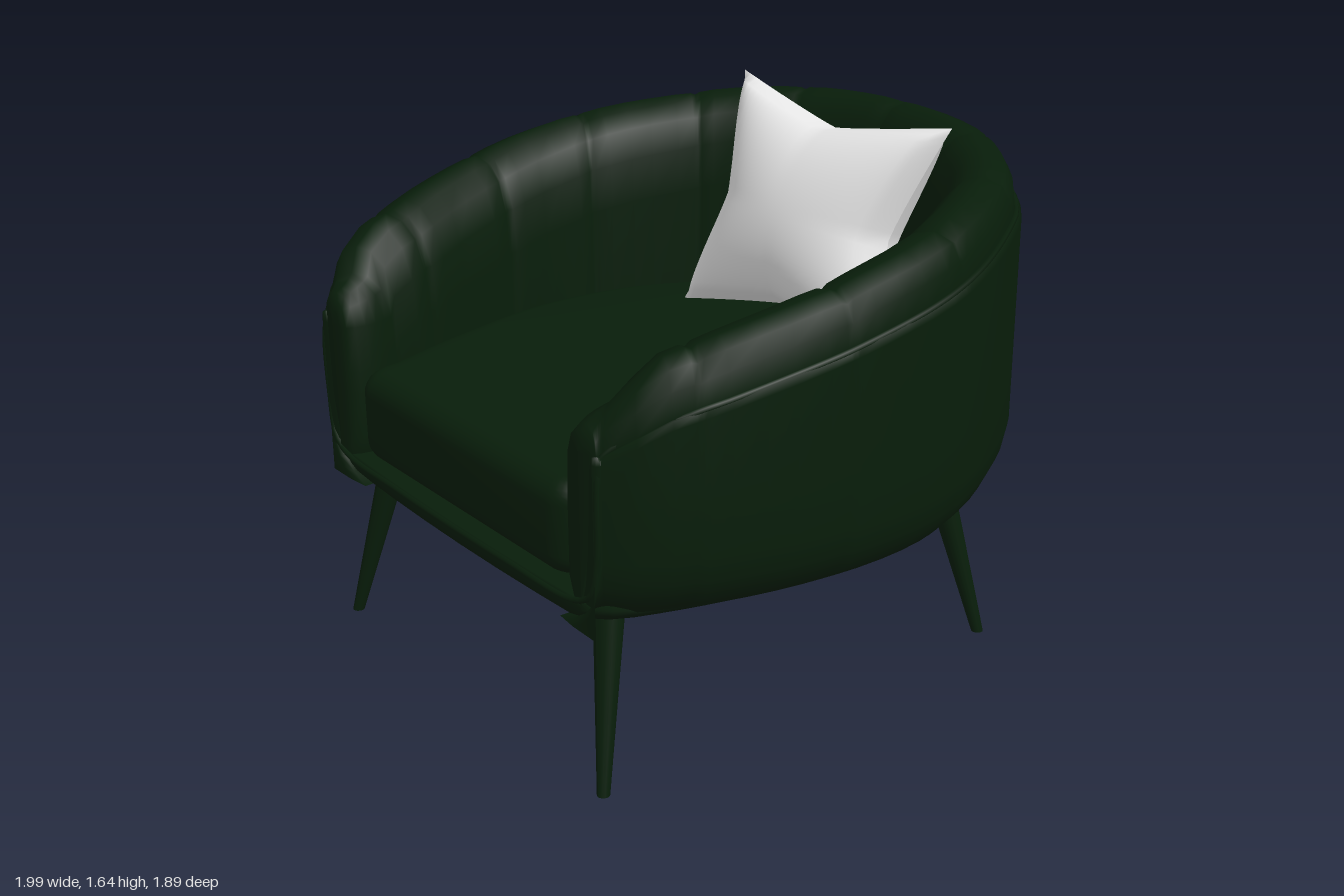
import * as THREE from 'three';
import { toCreasedNormals } from 'three/addons/utils/BufferGeometryUtils.js';

const V = (x, y, z) => new THREE.Vector3(x, y, z);
const { lerp, smoothstep } = THREE.MathUtils;

// Smooth surface through rows of equally many points
function loft(rows) {
  const n = rows[0].length, index = [];
  for (let r = 0; r < rows.length - 1; r++) {
    for (let i = 0; i < n - 1; i++) {
      const a = r * n + i, b = a + n;
      index.push(a, b, a + 1, a + 1, b, b + 1);
    }
  }
  const geo = new THREE.BufferGeometry().setFromPoints(rows.flat());
  geo.setIndex(index);
  geo.computeVertexNormals();
  return geo;
}

// Plan of the tub from the middle of the back to the front of the left arm (x, z)
const halfPlan = [[0, -0.945], [0.21, -0.925], [0.39, -0.875], [0.57, -0.775], [0.72, -0.64],
  [0.83, -0.475], [0.915, -0.31], [0.98, -0.11], [0.997, 0.1], [0.98, 0.3], [0.93, 0.53],
  [0.85, 0.755], [0.795, 0.865], [0.735, 0.915]];
const plan = new THREE.CatmullRomCurve3([
  ...halfPlan.slice(1).reverse().map(([x, z]) => V(-x, 0, z)),
  ...halfPlan.map(([x, z]) => V(x, 0, z))]);

// Height of the shell's upper edge, sloping from back to front
const slope = [[-0.94, 1.445], [-0.3, 1.355], [0.1, 1.285], [0.5, 1.2], [0.8, 1.125], [0.88, 1.075], [0.95, 1.0]];
function topY(z) {
  for (let i = 1; i < slope.length; i++) {
    const [z0, y0] = slope[i - 1], [z1, y1] = slope[i];
    if (z <= z1) return lerp(y0, y1, Math.max(0, (z - z0) / (z1 - z0)));
  }
  return 1;
}

// Stations along the tub: position, inward normal, padding thickness and height
function makeStations() {
  const half = [];
  const add = (u, pinch) => {
    const p = plan.getPointAt(0.5 + u / 2), t = plan.getTangentAt(0.5 + u / 2);
    const h = lerp(lerp(0.13, 0.145, smoothstep(u, 0.2, 0.7)), 0.12, smoothstep(u, 0.9, 1));
    const width = lerp(lerp(0.25, 0.28, smoothstep(u, 0.25, 0.6)), 0.22, smoothstep(u, 0.88, 1));
    half.push({
      p, n: V(-t.z, 0, t.x).normalize(), top: topY(p.z),
      h: h * (1 - 0.08 * pinch), t: width * (1 - 0.05 * pinch),
    });
  };
  for (let k = 0; k < 6; k++) {
    for (const f of [0, 0.04, 0.18, 0.4, 0.6, 0.82, 0.96]) {
      const u = (k + f) * 0.178;
      if (u < 0.99) add(u, f === 0 ? 1 : f === 0.04 || f === 0.96 ? 0.25 : 0);
    }
  }
  add(1, 0);
  // the arm turns inward at its front end
  const end = half[half.length - 1];
  for (let j = 1; j <= 5; j++) {
    const f = j / 5;
    half.push({ ...end, n: end.n.clone().lerp(V(-1, 0, 0.02), f).normalize(),
      h: lerp(0.12, 0.06, f), t: lerp(0.22, 0.15, f) });
  }
  const mirrored = half.slice(1).reverse().map(s => ({ ...s,
    p: V(-s.p.x, 0, s.p.z), n: V(-s.n.x, 0, s.n.z) }));
  return [...mirrored, ...half];
}

const at = (s, d, y) => V(s.p.x + s.n.x * d, y, s.p.z + s.n.z * d);

// Sweep a section along the stations and close both ends with a rounded cap
function sweep(stations, section, endWidth) {
  const row = s => section(s).map(([d, y]) => at(s, d, y));
  const cap = (s, mix, z) => section(s).map(([d, y]) =>
    at(s, lerp(d, endWidth / 2, mix), lerp(y, Math.min(y, s.top), mix)).add(V(0, 0, z)));
  const first = stations[0], last = stations[stations.length - 1];
  return loft([cap(first, 1, 0.014), cap(first, 0.4, 0.01), ...stations.map(row),
    cap(last, 0.4, 0.01), cap(last, 1, 0.014)]);
}

const shellSection = s => [[0.2, 0.505], [0.13, 0.53], [0.08, 0.562], [0.042, 0.605], [0.016, 0.66],
  [0, 0.74], [0, 0.9], [0, s.top - 0.02], [0.012, s.top], [0.03, s.top], [0.045, s.top - 0.03], [0.09, 0.6]];

const padProfile = [[0, 0], [0.04, 0.5], [0.15, 0.85], [0.38, 1], [0.62, 0.9], [0.82, 0.53],
  [0.95, -0.15], [1, -1.1]];
const padSection = s => [
  [0.09, 0.6], [0.02, 0.78],
  ...padProfile.map(([d, k]) => [0.02 + d * (s.t - 0.02), s.top + k * (k > 0 ? s.h : 0.15)]),
  [s.t, 0.8], [s.t, 0.65], [s.t - 0.02, 0.59]];

// Shallow bowl under the seat, with a lip along the front
function baseGeometry() {
  const outline = plan.getSpacedPoints(72);
  for (const x of [0.7, 0.5, 0.25, 0, -0.25, -0.5, -0.7]) outline.push(V(x, 0, 0.925 + 0.03 * (0.55 - x * x)));
  outline.push(outline[0].clone());
  const rings = [[0, 0.467], [0.5, 0.472], [0.72, 0.487], [0.8, 0.506], [0.86, 0.532], [0.895, 0.555],
    [0.9, 0.572], [0.89, 0.59], [0, 0.592]];
  return loft(rings.map(([s, y]) => outline.map(p =>
    V(p.x * s, y, p.z * (p.z > 0 ? s * (2 - s) : s)))));
}

// Closed piping along the shell edge, down the arms and across the lip
function pipingGeometry(stations) {
  const rim = stations.slice(5, -5).filter((s, i) => i % 3 === 0).map(s => at(s, 0.018, s.top));
  const front = [[0.725, 0.97, 0.92], [0.72, 0.75, 0.922], [0.695, 0.635, 0.926], [0.62, 0.592, 0.93], [0.3, 0.582, 0.935]];
  const points = [...rim, ...front.map(a => V(...a)),
    ...front.slice().reverse().map(([x, y, z]) => V(-x, y, z))];
  return new THREE.TubeGeometry(new THREE.CatmullRomCurve3(points, true), 200, 0.009, 6, true);
}

function cushionGeometry() {
  const side = [[0.51, 0.78], [0.6, 0.5], [0.68, 0.1], [0.62, -0.3], [0.42, -0.62]];
  const shape = new THREE.Shape();
  shape.moveTo(-0.47, 0.85);
  shape.lineTo(0.47, 0.85);
  shape.quadraticCurveTo(0.51, 0.845, 0.51, 0.78);
  shape.splineThru([...side.slice(1), [0, -0.71], ...side.slice().reverse().map(([x, z]) => [-x, z])]
    .map(([x, z]) => new THREE.Vector2(x, z)));
  shape.quadraticCurveTo(-0.51, 0.845, -0.47, 0.85);
  const geo = new THREE.ExtrudeGeometry(shape, { depth: 0.15, bevelThickness: 0.07, bevelSize: 0.07,
    bevelSegments: 7, curveSegments: 8 });
  geo.rotateX(Math.PI / 2).translate(0, 0.82, 0);
  return toCreasedNormals(geo, 0.7);
}

// Pillow half: pinched square between four corners, puffed to one side
function pillowGeometry(sign) {
  const tl = V(-0.43, 1.645, -0.53), tr = V(0.45, 1.605, -0.61);
  const bl = V(-0.44, 0.895, -0.28), br = V(0.445, 0.875, -0.37);
  const normal = V(0.1, 0.33, 0.94).normalize();
  const N = 28, rows = [];
  for (let j = 0; j <= N; j++) {
    const row = [];
    for (let i = 0; i <= N; i++) {
      const u = 2 * i / N - 1, v = 2 * j / N - 1;
      const a = u * (1 - 0.27 * (1 - Math.abs(v) ** 1.2));
      const b = v * (1 - 0.25 * (1 - Math.abs(u) ** 1.1));
      const p = bl.clone().lerp(br, (a + 1) / 2).lerp(tl.clone().lerp(tr, (a + 1) / 2), (b + 1) / 2);
      const puff = 0.195 * ((1 - u * u) * (1 - v * v)) ** 0.45;
      row.push(p.addScaledVector(normal, sign * puff));
    }
    rows.push(sign > 0 ? row.reverse() : row);
  }
  return loft(rows);
}

export function createModel() {
  const green = new THREE.MeshStandardMaterial({ color: 0x081d0a, side: THREE.DoubleSide });
  green.name = 'dark green';
  const white = new THREE.MeshStandardMaterial({ color: 0xe6e6e6, side: THREE.DoubleSide });
  white.name = 'off white';
  const model = new THREE.Group();
  model.name = 'tubArmchair';
  const add = (name, geo, material = green) => {
    const mesh = new THREE.Mesh(geo, material);
    mesh.name = name;
    model.add(mesh);
  };

  const stations = makeStations();
  add('base', baseGeometry());
  add('outerShell', sweep(stations, shellSection, 0.04));
  add('channelledPadding', sweep(stations, padSection, 0.16));
  add('piping', pipingGeometry(stations));
  add('seatCushion', cushionGeometry());
  add('pillowFront', pillowGeometry(1), white);
  add('pillowBack', pillowGeometry(-1), white);

  // Splayed tapered legs
  for (const sx of [1, -1]) {
    for (const [name, zTop, zBottom] of [['frontLeg', 0.79, 0.895], ['backLeg', -0.485, -0.59]]) {
      const geo = new THREE.CylinderGeometry(0.046, 0.019, 0.52, 16);
      const pos = geo.attributes.position;
      for (let i = 0; i < pos.count; i++) {
        const f = pos.getY(i) / 0.52 + 0.5;
        pos.setXYZ(i, pos.getX(i) + sx * lerp(0.687, 0.585, f), f * 0.52, pos.getZ(i) + lerp(zBottom, zTop, f));
      }
      geo.computeVertexNormals();
      add(name, geo);
    }
  }
  return model;
}
